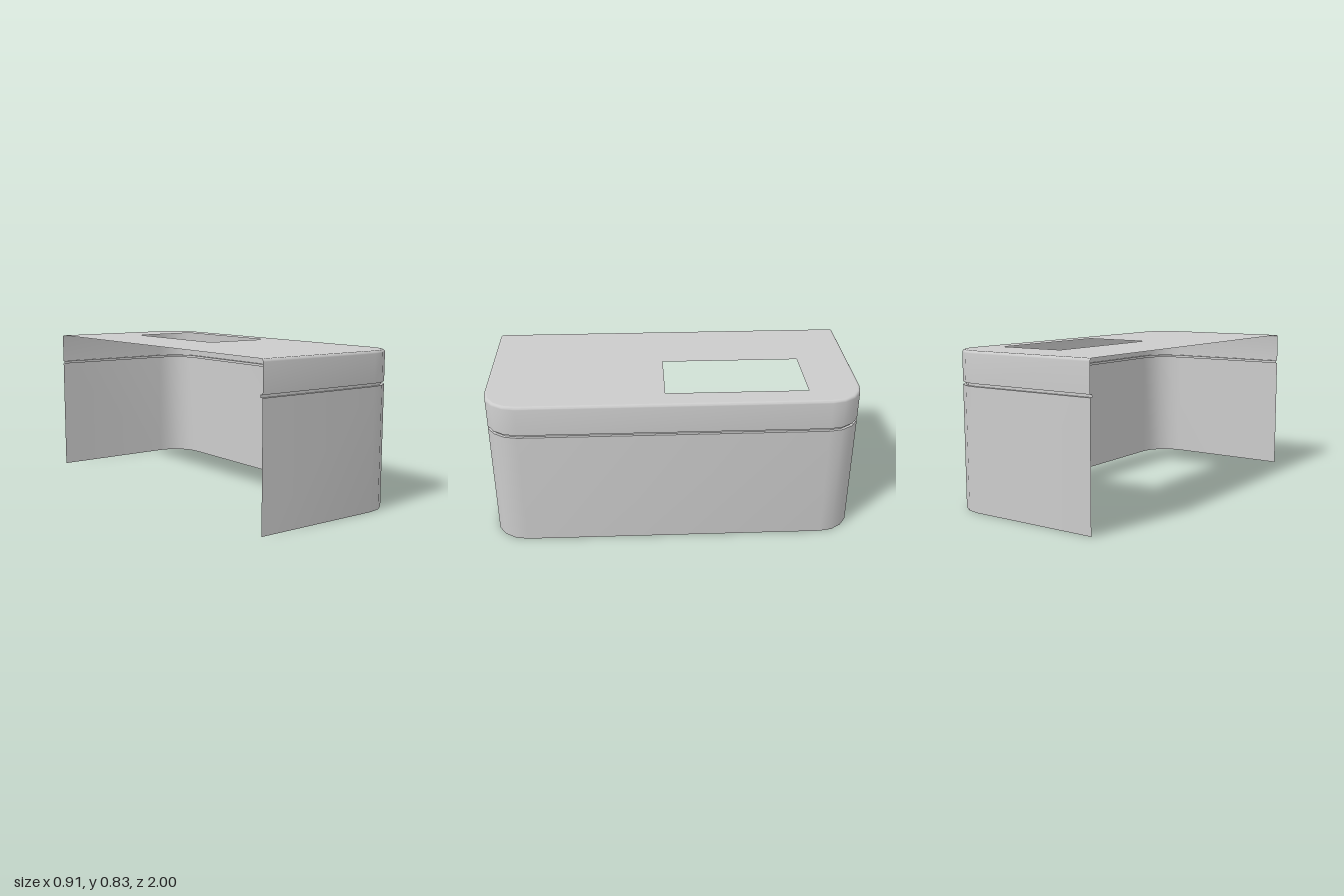
import * as THREE from 'three';
import { toCreasedNormals } from 'three/addons/utils/BufferGeometryUtils.js';

const HALF_W = 0.455, HALF_L = 1, HEIGHT = 0.833;
const CORNER = 0.18, CORNER_STEPS = 4, EDGE = 0.015, EDGE_STEPS = 4;

// U-shaped plan outline (x, z), open on the -x side, moved inward by inset
function outline(inset) {
  const pts = [[-HALF_W, HALF_L - inset]];
  const r = CORNER - inset, cx = HALF_W - CORNER, cz = HALF_L - CORNER;
  for (const side of [1, -1]) {
    for (let i = 0; i <= CORNER_STEPS; i++) {
      const t = i / CORNER_STEPS;
      const a = (side > 0 ? 1 - t : t) * Math.PI / 2;
      pts.push([cx + r * Math.cos(a), side * (cz + r * Math.sin(a))]);
    }
  }
  pts.push([-HALF_W, -HALF_L + inset]);
  return pts;
}

// Sweep an (inset, y) profile around the outline
function sweep(profile) {
  const positions = [], index = [];
  const n = outline(0).length;
  profile.forEach(([inset, y], row) => {
    for (const [x, z] of outline(inset)) positions.push(x, y, z);
    if (row === 0) return;
    for (let i = 0; i < n - 1; i++) {
      const a = (row - 1) * n + i, b = a + 1, c = a + n, d = c + 1;
      index.push(a, b, d, a, d, c);
    }
  });
  const geometry = new THREE.BufferGeometry();
  geometry.setAttribute('position', new THREE.Float32BufferAttribute(positions, 3));
  geometry.setIndex(index);
  return toCreasedNormals(geometry, 0.6);
}

export function createModel() {
  const group = new THREE.Group();
  group.name = 'cover';
  const material = new THREE.MeshStandardMaterial({ color: 0xcccccc, side: THREE.DoubleSide });
  const add = (name, geometry) => {
    const mesh = new THREE.Mesh(geometry, material);
    mesh.name = name;
    group.add(mesh);
    return mesh;
  };

  // Lower wall, recessed groove, and upper wall with its rounded top edge
  const grooveLow = 0.653, grooveHigh = 0.668;
  add('lowerWall', sweep([[0, 0], [0, grooveLow]]));
  add('groove', sweep([[0, grooveLow], [EDGE, grooveLow], [EDGE, grooveHigh], [0, grooveHigh]]));
  const upper = [[0, grooveHigh]];
  for (let i = 0; i <= EDGE_STEPS; i++) {
    const a = (i / EDGE_STEPS) * Math.PI / 2;
    upper.push([EDGE * (1 - Math.cos(a)), HEIGHT - EDGE * (1 - Math.sin(a))]);
  }
  add('upperWall', sweep(upper));

  // Top sheet with a rectangular opening
  const shape = new THREE.Shape(outline(EDGE).map(([x, z]) => new THREE.Vector2(x, -z)));
  const hole = [[-0.05, -0.045], [-0.05, 0.715], [0.33, 0.715], [0.33, -0.045]];
  shape.holes.push(new THREE.Path(hole.map(([x, y]) => new THREE.Vector2(x, y))));
  const top = add('topPanel', new THREE.ShapeGeometry(shape).rotateX(-Math.PI / 2));
  top.position.y = HEIGHT;

  return group;
}
